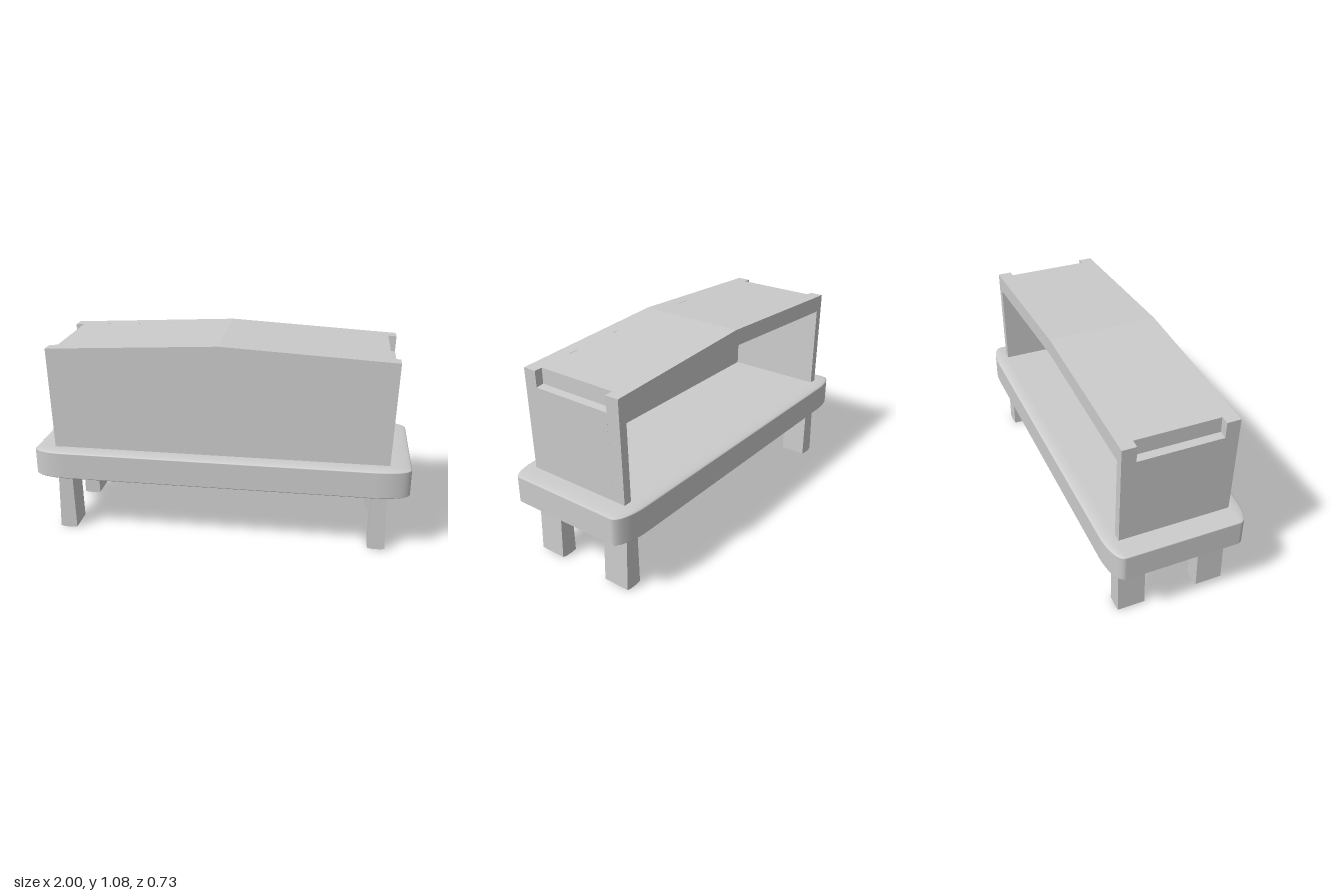
import * as THREE from 'three';
import { RoundedBoxGeometry } from 'three/addons/geometries/RoundedBoxGeometry.js';

const material = new THREE.MeshStandardMaterial({ color: 0xcccccc });

// Extrudes a front-view outline between two depths.
function slice(name, points, z0, z1) {
  const shape = new THREE.Shape(points.map(([x, y]) => new THREE.Vector2(x, y)));
  const geometry = new THREE.ExtrudeGeometry(shape, { depth: z1 - z0, bevelEnabled: false });
  geometry.translate(0, 0, z0);
  const mesh = new THREE.Mesh(geometry, material);
  mesh.name = name;
  return mesh;
}

// Completes a right-half outline with its mirror image (skipping points on x = 0).
function mirrored(half) {
  const other = half.filter(([x]) => x > 0).reverse().map(([x, y]) => [-x, y]);
  return [...half, ...other];
}

export function createModel() {
  const model = new THREE.Group();
  model.name = 'bench cabinet';

  // Seat slab: a rounded cube stretched flat, so its corners become elliptical
  const slabGeometry = new RoundedBoxGeometry(1, 1, 1, 5, 0.09);
  slabGeometry.scale(2, 0.166, 0.73);
  const slab = new THREE.Mesh(slabGeometry, material);
  slab.name = 'slab';
  slab.position.y = 0.407;
  model.add(slab);

  // Legs: slightly splayed, with a shallow rounded foot
  const legOutline = [
    [0.81, 0.335], [0.803, 0.005], [0.825, 0.001], [0.85, 0], [0.875, 0.001], [0.895, 0.006], [0.886, 0.335],
  ];
  for (const side of [1, -1]) {
    const outline = legOutline.map(([x, y]) => [x * side, y]);
    model.add(slice('frontLeg', outline, 0.147, 0.293));
    model.add(slice('backLeg', outline, -0.293, -0.147));
  }

  // Cabinet: tapered side walls under a low pitched roof, open at the back
  const cabinet = new THREE.Group();
  cabinet.name = 'cabinet';
  const base = 0.48, peak = [0, 1.083], ceiling = [0, 0.995];
  const inner = [[0.857, 0.946], [0.846, base]];
  const wallFoot = [0.89, base];
  const eave = [0.905, 1.035];

  const closed = mirrored([peak, eave, wallFoot]);
  // Inverted U outline, traced over the outside and back along the ceiling
  const frame = (outside) => {
    const flip = ([x, y]) => [-x, y];
    const right = [...outside, wallFoot];
    return [
      peak, ...right, inner[1], inner[0], ceiling,
      flip(inner[0]), flip(inner[1]), ...right.map(flip).reverse(),
    ];
  };
  const plain = frame([eave]);
  // Handle notch cut into the top of each end
  const notched = frame([[0.861, 1.037], [0.861, 0.955], [0.903, 0.95]]);

  cabinet.add(slice('backFrame', plain, -0.293, -0.22));
  cabinet.add(slice('notchedFrame', notched, -0.22, 0.22));
  cabinet.add(slice('frontFrame', plain, 0.22, 0.25));
  cabinet.add(slice('frontPanel', closed, 0.25, 0.293));
  model.add(cabinet);

  return model;
}
